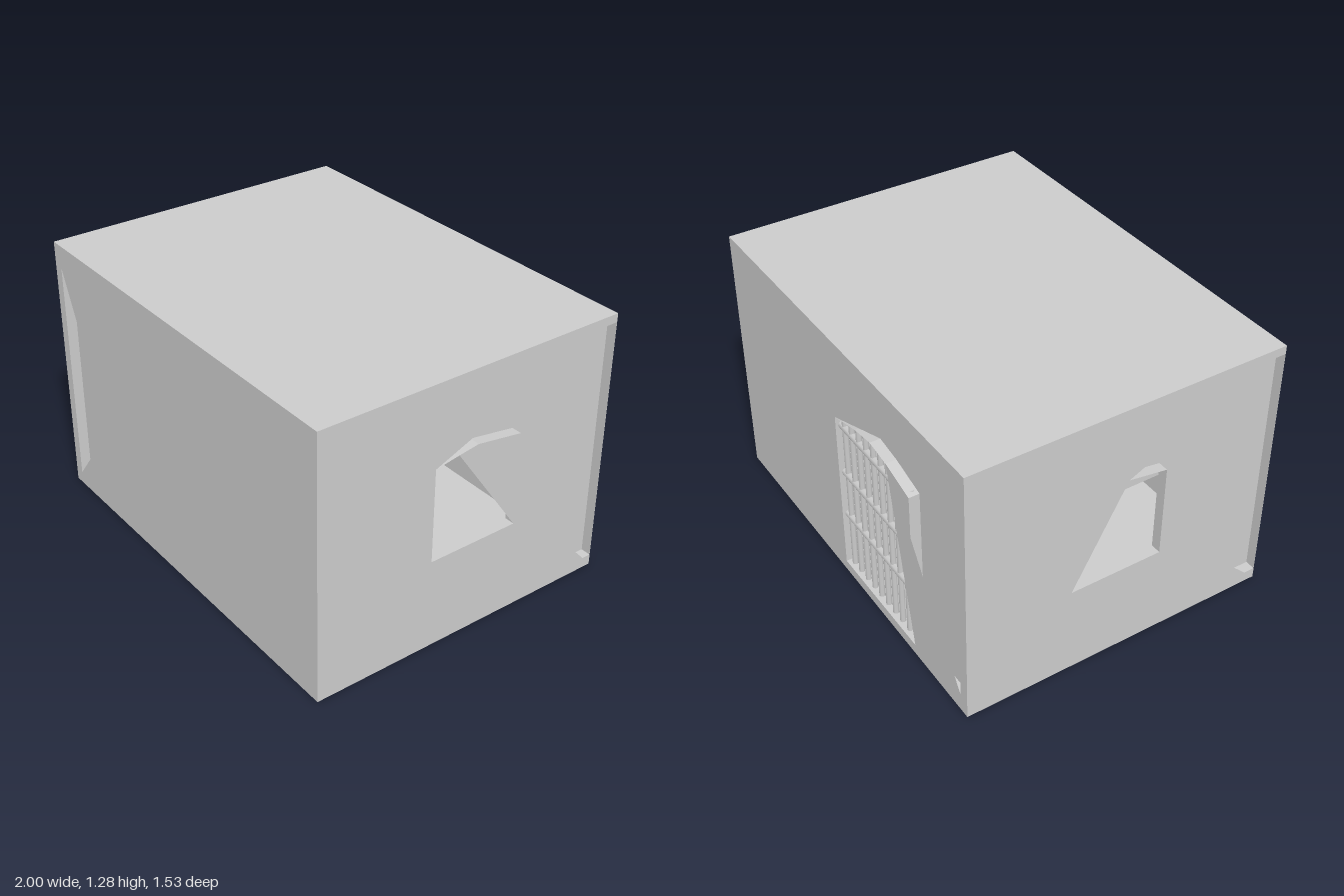
import * as THREE from 'three';

const W = 1, D = 0.765, LOW = 0.05, TOP = 1.24, HEIGHT = 1.28, T = 0.05;

export function createModel() {
  const model = new THREE.Group();
  const mat = new THREE.MeshStandardMaterial({ color: 0xcccccc, side: THREE.DoubleSide, flatShading: true });
  const smooth = new THREE.MeshStandardMaterial({ color: 0xcccccc });
  const vec = (pts) => pts.map(([u, y]) => new THREE.Vector2(u, y));

  function add(parent, name, geo, x = 0, y = 0, z = 0, m = mat) {
    const mesh = new THREE.Mesh(geo, m);
    mesh.name = name;
    mesh.position.set(x, y, z);
    parent.add(mesh);
    return mesh;
  }

  // Flat wall skin with an optional cut-out
  function skin(half, hole) {
    const shape = new THREE.Shape(vec([[-half, LOW], [half, LOW], [half, TOP], [-half, TOP]]));
    if (hole) shape.holes.push(new THREE.Path(vec(hole)));
    return new THREE.ShapeGeometry(shape);
  }

  // Thin reveal joining the two skins around an opening
  function reveal(loop) {
    const pos = [];
    loop.forEach(([u, y], i) => {
      const [v, w] = loop[(i + 1) % loop.length];
      pos.push(u, y, 0, v, w, 0, v, w, -T, u, y, 0, v, w, -T, u, y, -T);
    });
    const geo = new THREE.BufferGeometry();
    geo.setAttribute('position', new THREE.Float32BufferAttribute(pos, 3));
    geo.computeVertexNormals();
    return geo;
  }

  // A wall is drawn facing +z, u to the right, then turned into place
  function wall(name, angle, dist, half, innerHalf, broken, opening) {
    const g = new THREE.Group();
    g.name = name;
    add(g, 'outerSkin', skin(half, broken), 0, 0, dist);
    add(g, 'innerSkin', skin(innerHalf, opening), 0, 0, dist - T);
    if (opening) add(g, 'openingReveal', reveal(opening), 0, 0, dist);
    g.rotation.y = angle;
    model.add(g);
    return g;
  }

  // Floor and roof slabs
  add(model, 'floor', new THREE.BoxGeometry(2 * W, LOW, 2 * D), 0, LOW / 2, 0);
  add(model, 'roof', new THREE.BoxGeometry(2 * W, HEIGHT - TOP, 2 * D), 0, (HEIGHT + TOP) / 2, 0);

  // Front wall with a shallow broken recess
  wall('frontWall', 0, D, W, W - T, [[-0.95, 1.17], [-0.95, 0.06], [-0.58, 0.52], [-0.66, 0.52]]);

  // Side walls with arched windows and broken outer skins
  wall('leftWall', Math.PI / 2, W, D, D,
    [[-0.19, 0.44], [0.26, 0.44], [-0.07, 0.91], [0.03, 0.925], [0.26, 0.89], [0.26, 0.55],
      [0.72, 0.051], [0.764, 0.051], [0.764, 1.239], [0.66, 1.239], [-0.19, 0.89]],
    [[-0.19, 0.44], [0.26, 0.44], [0.26, 0.89], [0.03, 0.925], [-0.07, 0.91], [-0.19, 0.89]]);
  wall('rightWall', -Math.PI / 2, W, D, D,
    [[-0.26, 0.44], [0.19, 0.44], [0.19, 0.55], [0.71, 0.051], [0.764, 0.051], [0.764, 1.239],
      [0.67, 1.239], [0, 0.92]],
    [[-0.26, 0.44], [0.19, 0.44], [0.19, 0.89], [0, 0.92], [-0.26, 0.89]]);

  // Back wall with an arched gateway
  const back = wall('backWall', Math.PI, D, W, W - T,
    [[-0.04, 0.051], [0.58, 0.051], [0.4, 0.93], [0.58, 0.88], [0.58, 0.67], [0.95, 0.085],
      [0.95, 1.239], [0.89, 1.239], [-0.04, 0.88]],
    [[-0.04, 0.051], [0.58, 0.051], [0.58, 0.88], [0.4, 0.93], [0.27, 0.95], [0.14, 0.93], [-0.04, 0.88]]);

  // Barred gate
  const gate = new THREE.Group();
  gate.name = 'gate';
  for (let i = 0; i < 10; i++) {
    const u = -0.01 + i * 0.062;
    const h = 0.95 - 0.07 * Math.abs(u - 0.27) / 0.31 - LOW;
    add(gate, 'verticalBar', new THREE.CylinderGeometry(0.014, 0.014, h, 8), u, LOW + h / 2, D - 0.03, smooth);
  }
  for (const y of [0.33, 0.57, 0.83]) {
    add(gate, 'crossBar', new THREE.CylinderGeometry(0.018, 0.018, 0.62, 8), 0.27, y, D - 0.03, smooth)
      .rotation.z = Math.PI / 2;
  }
  back.add(gate);

  // Bunk along the inside of the front wall
  add(model, 'bunk', new THREE.BoxGeometry(1.16, 0.05, 0.56), 0, 0.445, 0.43);

  return model;
}
